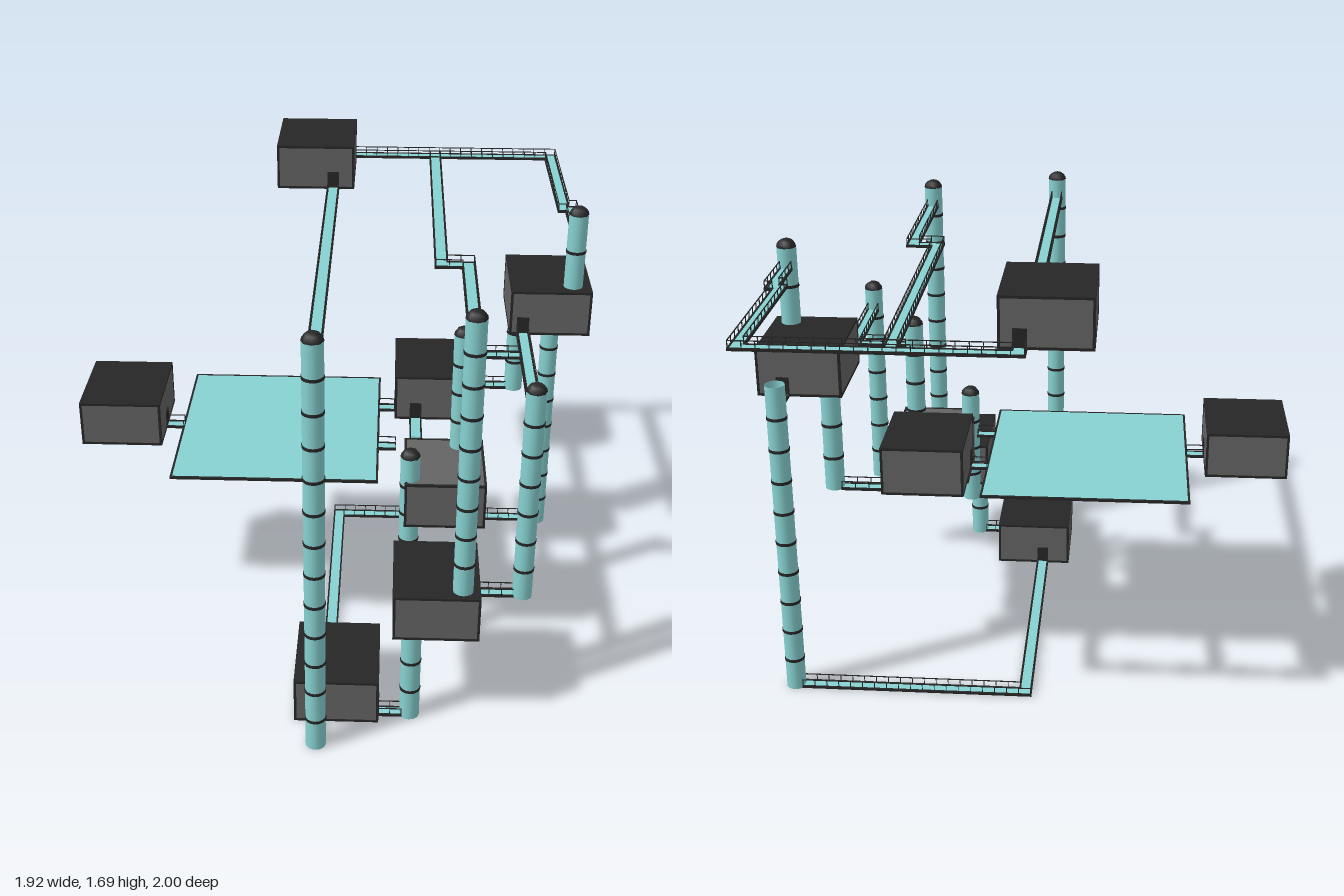
import * as THREE from 'three';
import { mergeGeometries } from 'three/addons/utils/BufferGeometryUtils.js';

const teal = new THREE.MeshStandardMaterial({ color: 0x88d2d2, side: THREE.DoubleSide });
const grey = new THREE.MeshStandardMaterial({ color: 0x646464 });
const dark = new THREE.MeshStandardMaterial({ color: 0x262626 });
const TUBE_R = 0.036;
const DECK_W = 0.042;

function box(w, h, d, x, y, z) {
  return new THREE.BoxGeometry(w, h, d).translate(x, y, z);
}

function add(group, name, geometries, material) {
  const mesh = new THREE.Mesh(mergeGeometries(geometries), material);
  mesh.name = name;
  group.add(mesh);
}

// Room: grey walls, dark lid and dark edge strips
function room(name, x0, x1, y0, y1, z0, z1, hasLid = true) {
  const g = new THREE.Group();
  g.name = name;
  const w = x1 - x0, h = y1 - y0, d = z1 - z0, t = 0.009;
  const cx = (x0 + x1) / 2, cy = (y0 + y1) / 2, cz = (z0 + z1) / 2;
  add(g, 'walls', [box(w - 0.004, h - 0.004, d - 0.004, cx, cy, cz)], grey);
  const strips = [];
  for (const a of [-1, 1]) for (const b of [-1, 1]) {
    const ex = cx + a * (w - t) / 2, ez = cz + b * (d - t) / 2;
    const ey = cy + a * (h - t) / 2;
    strips.push(box(t, h, t, ex, cy, ez));
    strips.push(box(w, t, t, cx, ey, ez));
    strips.push(box(t, t, d, cx + b * (w - t) / 2, ey, cz));
  }
  add(g, 'edges', strips, dark);
  if (hasLid) add(g, 'lid', [box(w, 0.008, d, cx, y1 - 0.004, cz)], dark);
  return g;
}

// Lift tube: open cylinder with dark bands and an optional faceted dome
function tower(name, x, z, y0, y1, dome = true) {
  const g = new THREE.Group();
  g.name = name;
  const h = y1 - y0;
  add(g, 'tube', [new THREE.CylinderGeometry(TUBE_R, TUBE_R, h, 16, 1, true).translate(x, y0 + h / 2, z)], teal);
  const bands = [];
  const n = Math.max(1, Math.round(h / 0.122));
  for (let i = 1; i < n; i++) {
    const r = TUBE_R + 0.002;
    bands.push(new THREE.CylinderGeometry(r, r, 0.011, 16).translate(x, y0 + h * i / n, z));
  }
  if (bands.length) add(g, 'bands', bands, dark);
  if (dome) {
    const cap = new THREE.SphereGeometry(TUBE_R + 0.001, 8, 4, 0, Math.PI * 2, 0, Math.PI / 2);
    add(g, 'dome', [cap.scale(1, 0.85, 1).translate(x, y1, z)], dark);
  }
  return g;
}

// Offset an axis-aligned path sideways with mitred corners
function offsetPath(points, o) {
  const dirs = points.slice(1).map((p, i) =>
    [Math.sign(p[0] - points[i][0]), Math.sign(p[1] - points[i][1])]);
  return points.map(([x, z], i) => {
    const a = dirs[Math.max(0, i - 1)], b = dirs[Math.min(dirs.length - 1, i)];
    const straight = a[0] === b[0] && a[1] === b[1];
    const nx = straight ? -a[1] : -a[1] - b[1];
    const nz = straight ? a[0] : a[0] + b[0];
    return [x + nx * o, z + nz * o];
  });
}

// Walkway: teal deck, dark kerbs, thin handrails on regularly spaced posts
function walkway(name, y, points) {
  const g = new THREE.Group();
  g.name = name;
  const decks = [], rails = [];
  const bar = (p, q, width, height, yc, extendStart, extendEnd) => {
    const sx = Math.sign(q[0] - p[0]), sz = Math.sign(q[1] - p[1]);
    const ax = p[0] - sx * extendStart, az = p[1] - sz * extendStart;
    const bx = q[0] + sx * extendEnd, bz = q[1] + sz * extendEnd;
    return box(Math.abs(bx - ax) || width, height, Math.abs(bz - az) || width,
      (ax + bx) / 2, yc, (az + bz) / 2);
  };
  const last = points.length - 2;
  for (let i = 0; i <= last; i++) {
    decks.push(bar(points[i], points[i + 1], DECK_W, 0.006, y + 0.003,
      0, i < last ? DECK_W / 2 : 0));
  }
  for (const side of [-1, 1]) {
    const line = offsetPath(points, side * DECK_W / 2);
    for (let i = 0; i <= last; i++) {
      const p = line[i], q = line[i + 1];
      rails.push(bar(p, q, 0.006, 0.01, y + 0.004, 0.003, 0.003));
      rails.push(bar(p, q, 0.003, 0.003, y + 0.033, 0.0015, 0.0015));
      const length = Math.abs(q[0] - p[0]) + Math.abs(q[1] - p[1]);
      const n = Math.max(1, Math.round(length / 0.045));
      for (let k = 0; k <= n; k++) {
        const t = k / n;
        rails.push(box(0.003, 0.028, 0.003,
          p[0] + (q[0] - p[0]) * t, y + 0.02, p[1] + (q[1] - p[1]) * t));
      }
    }
  }
  add(g, 'deck', decks, teal);
  add(g, 'railings', rails, dark);
  return g;
}

export function createModel() {
  const model = new THREE.Group();
  model.name = 'towerComplex';

  // Rooms: x0, x1, y0, y1, z0, z1
  model.add(
    room('topRoom', -0.255, 0.05, 1.53, 1.705, -0.93, -0.575),
    room('outerRoom', -0.96, -0.655, 0.765, 0.94, -0.185, 0.17),
    room('upperRoom', 0.655, 0.958, 1.145, 1.322, -0.425, -0.067),
    room('backRoom', 0.228, 0.53, 0.765, 0.95, -0.42, -0.075),
    room('middleRoom', 0.268, 0.567, 0.583, 0.765, 0.075, 0.418, false),
    room('lowerRoom', 0.232, 0.537, 0.386, 0.565, 0.483, 0.837),
    room('groundRoom', -0.118, 0.188, 0.012, 0.19, 0.488, 0.842));

  // Round hatch on the open roof
  const hatch = new THREE.RingGeometry(0.033, 0.036, 24).rotateX(-Math.PI / 2);
  add(model, 'roofHatch', [hatch.translate(0.51, 0.766, 0.36)], dark);

  // Plaza with a dark rim
  add(model, 'plaza', [box(0.755, 0.008, 0.81, -0.212, 0.765, -0.005)], teal);
  const rim = [];
  for (const s of [-1, 1]) {
    rim.push(box(0.763, 0.01, 0.008, -0.212, 0.765, -0.005 + s * 0.405));
    rim.push(box(0.008, 0.01, 0.818, -0.212 + s * 0.378, 0.765, -0.005));
  }
  add(model, 'plazaRim', rim, dark);

  // Lift towers
  model.add(
    tower('frontTower', -0.033, 0.96, 0.012, 1.61),
    tower('tallTower', 0.475, 0.782, 0.565, 1.61),
    tower('groundTower', 0.3, 0.785, 0.012, 0.386),
    tower('sideTower', 0.705, 0.557, 0.39, 1.235),
    tower('shortTower', 0.287, 0.365, 0.386, 0.855),
    tower('roofTower', 0.475, 0.125, 0.765, 1.235),
    tower('backTower', 0.865, -0.537, 0.012, 1.235, false),
    tower('upperTower', 0.89, -0.13, 1.322, 1.61),
    tower('innerTower', 0.71, -0.362, 0.765, 1.145, false));

  // Top level walkways
  const top = 1.53;
  model.add(
    walkway('longWalkway', top, [[-0.033, 0.93], [-0.033, -0.575]]),
    walkway('loopWalkway', top, [[-0.02, -0.93], [-0.02, -0.978], [0.862, -0.978],
      [0.862, -0.375], [0.89, -0.375], [0.89, -0.16]]),
    walkway('branchWalkway', top, [[0.38, -0.957], [0.38, 0.185], [0.475, 0.185], [0.475, 0.752]]));

  // Upper level walkways
  model.add(
    walkway('upperWalkway', 1.147, [[0.705, 0.527], [0.705, -0.067]]),
    walkway('upperCrossWalkway', 1.147, [[0.505, 0.122], [0.684, 0.122]]),
    walkway('upperBackWalkway', 1.147, [[0.865, -0.425], [0.865, -0.507]]));

  // Plaza level walkways
  model.add(
    walkway('outerWalkway', 0.765, [[-0.655, 0.01], [-0.59, 0.01]]),
    walkway('plazaBackWalkway', 0.765, [[0.167, -0.157], [0.228, -0.157]]),
    walkway('plazaFrontWalkway', 0.765, [[0.167, 0.147], [0.232, 0.147]]),
    walkway('roofWalkway', 0.765, [[0.31, 0.075], [0.31, -0.075]]),
    walkway('innerWalkway', 0.765, [[0.53, -0.367], [0.68, -0.367]]));

  // Lower and ground level walkways
  model.add(
    walkway('lowerSideWalkway', 0.388, [[0.537, 0.55], [0.675, 0.55]]),
    walkway('lowerBackWalkway', 0.388, [[0.287, 0.483], [0.287, 0.395]]),
    walkway('groundFrontWalkway', 0.014, [[-0.033, 0.842], [-0.033, 0.93]]),
    walkway('groundSideWalkway', 0.014, [[0.188, 0.785], [0.27, 0.785]]),
    walkway('groundLoopWalkway', 0.014, [[-0.005, 0.488], [-0.005, -0.54], [0.835, -0.54]]));

  // Doorways where walkways reach the rooms: x, floor y, z, facing along x?
  const doors = [
    [-0.033, 1.53, -0.575, 0], [-0.02, 1.53, -0.93, 0], [-0.655, 0.765, 0.01, 1],
    [0.705, 1.147, -0.067, 0], [0.865, 1.147, -0.425, 0], [0.228, 0.765, -0.157, 1],
    [0.31, 0.765, -0.075, 0], [0.53, 0.765, -0.367, 1], [0.537, 0.388, 0.55, 1],
    [0.287, 0.388, 0.483, 0], [-0.033, 0.014, 0.842, 0], [0.188, 0.014, 0.785, 1],
    [-0.005, 0.014, 0.488, 0]];
  add(model, 'doorways', doors.map(([x, y, z, alongX]) =>
    box(alongX ? 0.004 : 0.046, 0.07, alongX ? 0.046 : 0.004, x, y + 0.035, z)), dark);

  return model;
}
